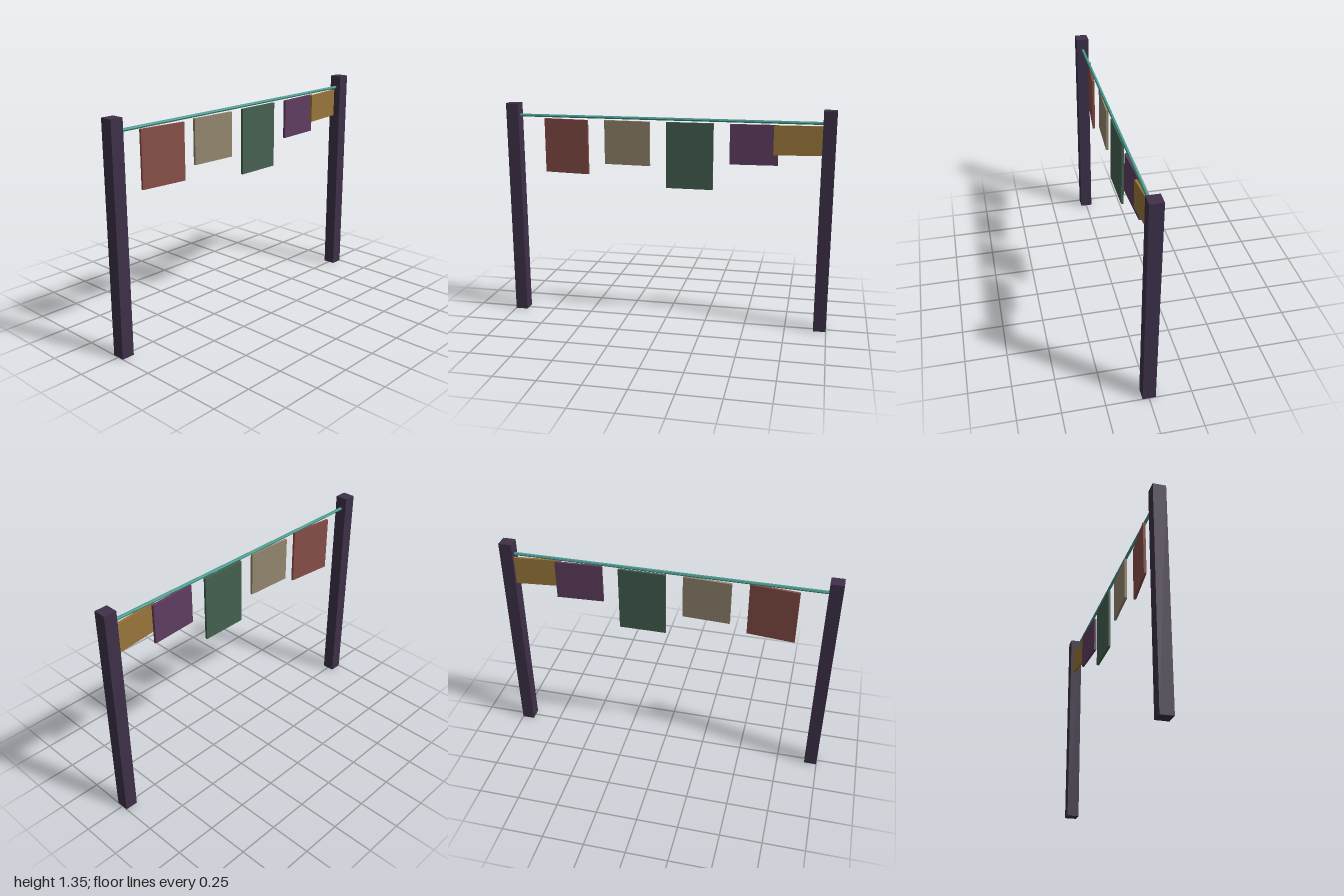
import * as THREE from 'three';

const POST = { size: 0.077, height: 1.345 };
const LINE = { y: 1.27, radius: 0.0096 };
const CLOTH = { width: 0.286, top: 1.252, thickness: 0.015 };

function material(name, color) {
  const m = new THREE.MeshStandardMaterial({ color });
  m.name = name;
  return m;
}

function addMesh(parent, name, geometry, mat, x, y) {
  const mesh = new THREE.Mesh(geometry, mat);
  mesh.name = name;
  mesh.position.set(x, y, 0);
  parent.add(mesh);
  return mesh;
}

export function createModel() {
  const group = new THREE.Group();
  group.name = 'clothesline';

  // Square posts at both ends
  const postMat = material('dark plum wood', 0x3e3049);
  const postGeo = new THREE.BoxGeometry(POST.size, POST.height, POST.size);
  const postX = 1 - POST.size / 2;
  addMesh(group, 'leftPost', postGeo, postMat, postX, POST.height / 2);
  addMesh(group, 'rightPost', postGeo, postMat, -postX, POST.height / 2);

  // Taut line between the posts
  const lineMat = material('teal rope', 0x4a9c90);
  lineMat.flatShading = true;
  const lineGeo = new THREE.CylinderGeometry(LINE.radius, LINE.radius, postX * 2, 6);
  addMesh(group, 'line', lineGeo, lineMat, 0, LINE.y).rotation.z = Math.PI / 2;

  // Hanging cloths, each turned a little further about the vertical
  const cloths = [
    ['redCloth', 'brick red', 0x884e47, -0.628, 0.335],
    ['tanCloth', 'tan', 0x94876f, -0.243, 0.27],
    ['greenCloth', 'dark green', 0x456150, 0.143, 0.403],
    ['purpleCloth', 'purple', 0x5f3d60, 0.528, 0.24],
    ['goldCloth', 'ochre', 0x987639, 0.785, 0.174],
  ];
  cloths.forEach(([name, colorName, color, x, height], i) => {
    const geo = new THREE.BoxGeometry(CLOTH.width, height, CLOTH.thickness);
    const cloth = addMesh(group, name, geo, material(colorName, color), x, CLOTH.top - height / 2);
    cloth.rotation.y = (i - 2) * 0.052;
  });

  return group;
}
